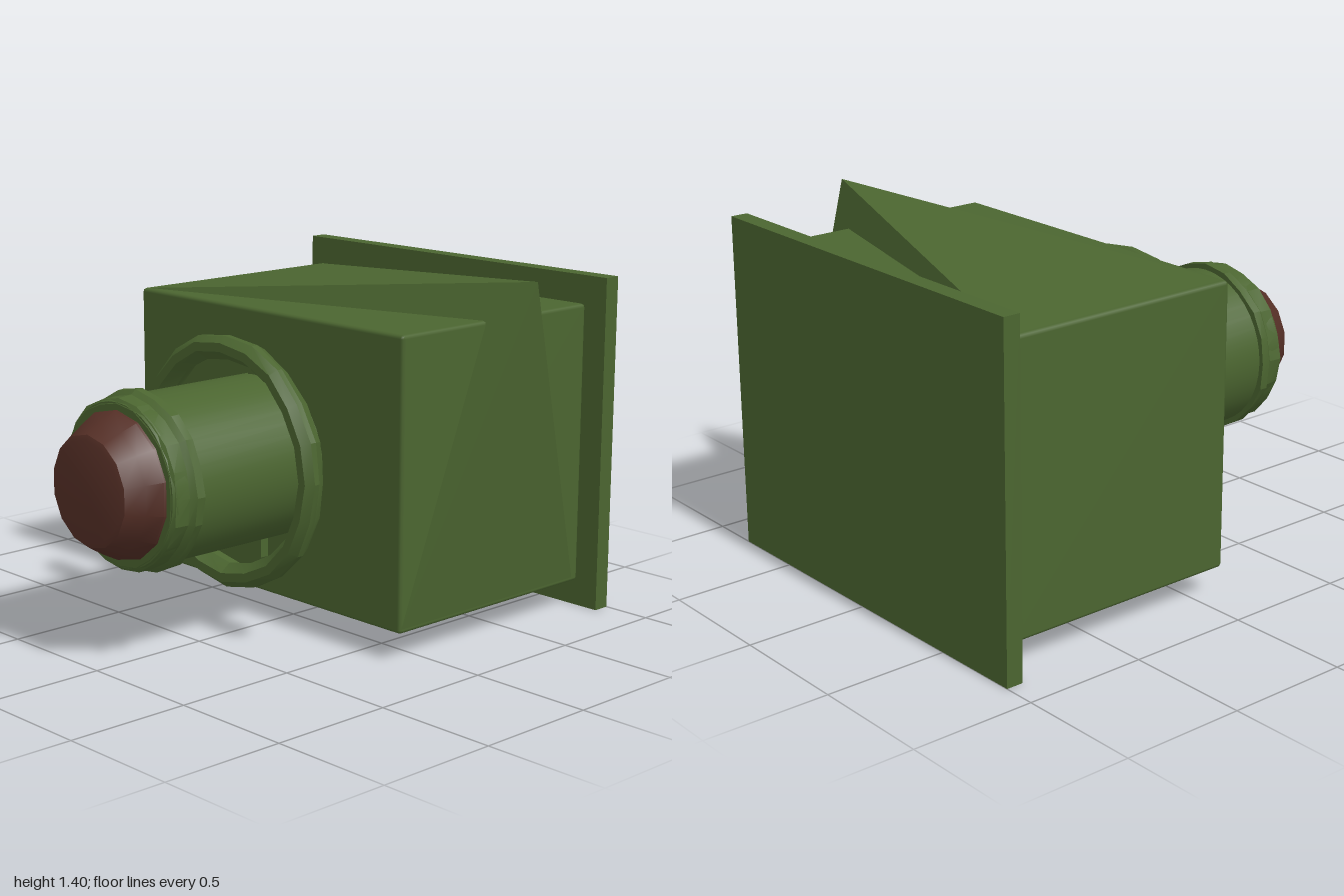
import * as THREE from 'three';
import { RoundedBoxGeometry } from 'three/addons/geometries/RoundedBoxGeometry.js';
import { ConvexGeometry } from 'three/addons/geometries/ConvexGeometry.js';
import { toCreasedNormals } from 'three/addons/utils/BufferGeometryUtils.js';

const AXIS_X = -0.035, AXIS_Y = 0.68;

export function createModel() {
  const model = new THREE.Group();
  const green = new THREE.MeshStandardMaterial({ color: 0x4b6530 });
  green.name = 'olive green';
  const brown = new THREE.MeshStandardMaterial({ color: 0x552f26 });
  brown.name = 'dark red brown';

  const add = (name, geometry, material, x = 0, y = 0, z = 0) => {
    const mesh = new THREE.Mesh(geometry, material);
    mesh.name = name;
    mesh.position.set(x, y, z);
    model.add(mesh);
    return mesh;
  };

  // Turned part around the forward axis; profile is [radius, z] pairs, outside going forward
  const turned = (name, profile, sides, material, crease, wobble = 0) => {
    const g = new THREE.LatheGeometry(profile.map(([r, z]) => new THREE.Vector2(r, z)), sides);
    g.rotateX(Math.PI / 2);
    if (wobble) {
      // Slightly uneven, hammered rim
      const p = g.attributes.position;
      for (let i = 0; i < p.count; i++) {
        const k = 1 + wobble * Math.sin(7 * Math.atan2(p.getY(i), p.getX(i)) + 20 * p.getZ(i));
        p.setXY(i, p.getX(i) * k, p.getY(i) * k);
      }
    }
    return add(name, toCreasedNormals(g, crease), material, AXIS_X, AXIS_Y, 0);
  };

  // Rear mounting plate
  add('backPlate', new THREE.BoxGeometry(1.67, 1.36, 0.07), green, -0.035, 0.68, -0.965);

  // Housing with narrow bevelled edges
  add('housing', new RoundedBoxGeometry(1.5, 1.14, 1.035, 1, 0.015), green, -0.04, 0.68, -0.4);

  // Pulled-out corner: sheets from the housing's far edges to one peak
  const peak = [
    [-0.765, 1.25, 0.1], [-0.765, 1.25, -0.9],
    [0.71, 0.13, 0.11], [0.71, 0.13, -0.88],
    [0.865, 1.405, -0.44],
  ].map((p) => new THREE.Vector3(...p));
  add('peakedCorner', new ConvexGeometry(peak), green);

  // Barrel, its front collar and face
  turned('barrel', [[0.325, 0.1], [0.325, 0.84], [0.315, 0.855], [0.27, 0.855]], 40, green, 0.5);
  turned('frontCollar', [
    [0.31, 0.73], [0.348, 0.73], [0.348, 0.765], [0.33, 0.785], [0.328, 0.845], [0.31, 0.857],
  ], 20, green, 0.3, 0.012);

  // Loose outer ring
  turned('outerRing', [
    [0.42, 0.255], [0.475, 0.255], [0.5, 0.3], [0.5, 0.325], [0.475, 0.355],
    [0.44, 0.355], [0.405, 0.31], [0.42, 0.255],
  ], 20, green, 0.3, 0.008);

  // Locating tabs above and below the barrel
  for (const side of [1, -1]) {
    add('locatingTab', new THREE.BoxGeometry(0.07, 0.13, 0.037), green,
      AXIS_X, AXIS_Y + side * 0.343, 0.157);
  }

  // Faceted lens with a blunt front
  turned('lens', [
    [0.288, 0.845], [0.285, 0.865], [0.255, 0.925], [0.215, 0.993], [0.195, 1.0], [0, 1.0],
  ], 14, brown, 0.5);

  return model;
}
